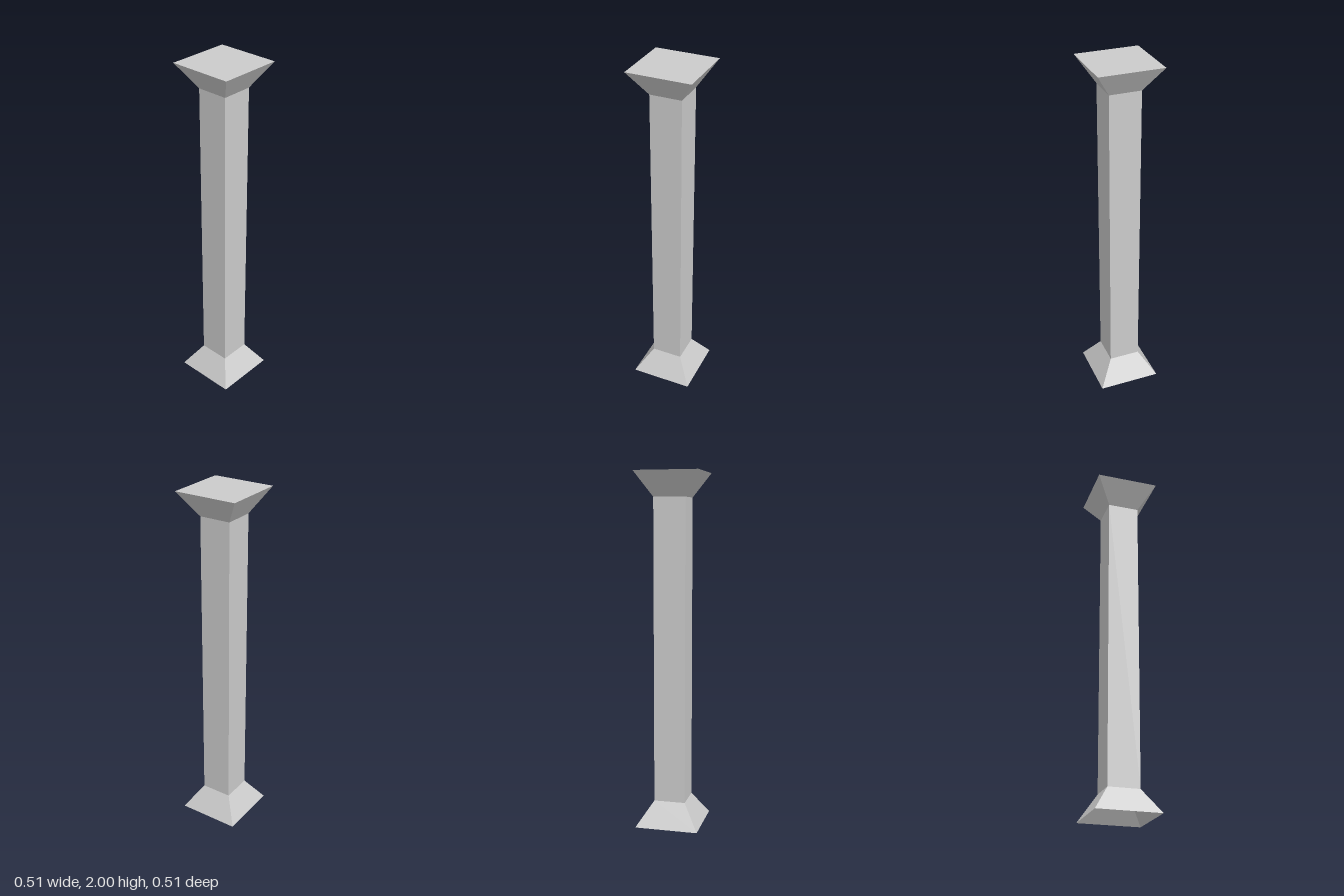
import * as THREE from 'three';

export function createModel() {
  const group = new THREE.Group();
  group.name = 'squareColumn';
  const material = new THREE.MeshStandardMaterial({
    color: 0xcccccc, flatShading: true, side: THREE.DoubleSide,
  });
  const wide = 0.254, narrow = 0.127, height = 2, flare = 0.138;

  // Four-sided hollow section, corners on the x and z axes; points are [radius, y]
  function section(name, ...points) {
    const profile = points.map(([r, y]) => new THREE.Vector2(r, y));
    const mesh = new THREE.Mesh(new THREE.LatheGeometry(profile, 4), material);
    mesh.name = name;
    group.add(mesh);
  }

  // Flared foot, open underneath
  section('base', [wide, 0], [narrow, flare]);
  // Straight hollow post
  section('shaft', [narrow, flare], [narrow, height - flare]);
  // Flared head
  section('capital', [narrow, height - flare], [wide, height]);

  // Flat lid closing the head
  const lid = new THREE.Mesh(new THREE.CircleGeometry(wide, 4), material);
  lid.name = 'topPlate';
  lid.rotation.x = -Math.PI / 2;
  lid.position.y = height;
  group.add(lid);

  return group;
}
